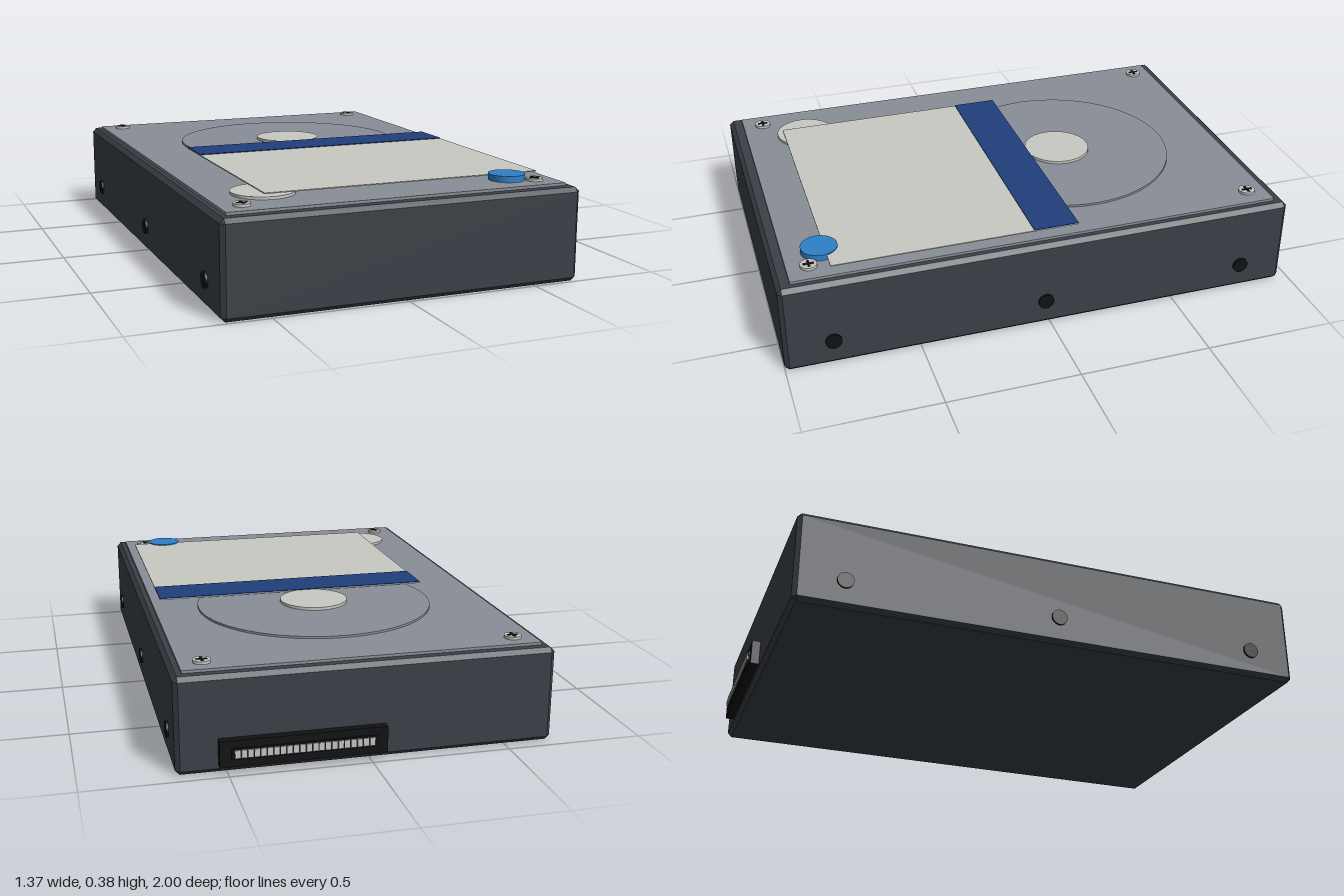
import * as THREE from 'three';
import { ConvexGeometry } from 'three/addons/geometries/ConvexGeometry.js';

const mat = (name, color) => {
  const m = new THREE.MeshStandardMaterial({ color });
  m.name = name;
  return m;
};

// Box with all edges cut at 45 degrees
function chamferedBox(w, h, d, c) {
  const pts = [];
  for (const sx of [-1, 1]) for (const sy of [-1, 1]) for (const sz of [-1, 1]) {
    const x = w / 2, y = h / 2, z = d / 2;
    pts.push(new THREE.Vector3(sx * x, sy * (y - c), sz * (z - c)));
    pts.push(new THREE.Vector3(sx * (x - c), sy * y, sz * (z - c)));
    pts.push(new THREE.Vector3(sx * (x - c), sy * (y - c), sz * z));
  }
  return new ConvexGeometry(pts);
}

export function createModel() {
  const root = new THREE.Group();
  root.name = 'hardDrive';

  const casing = mat('charcoal casing', 0x3b4047);
  const metal = mat('lid grey', 0x8a8f98);
  const pale = mat('pale label', 0xc9c9c3);
  const navy = mat('navy band', 0x1f3f7d);
  const blue = mat('blue seal', 0x2f80c8);
  const black = mat('black plastic', 0x101113);
  const silver = mat('silver', 0xc4c4c0);

  const add = (name, geo, material, x, y, z, parent = root) => {
    const mesh = new THREE.Mesh(geo, material);
    mesh.name = name;
    mesh.position.set(x, y, z);
    parent.add(mesh);
    return mesh;
  };
  // Box and upright disc given by their bottom and top heights
  const slab = (name, m, x0, x1, y0, y1, z0, z1, parent) =>
    add(name, new THREE.BoxGeometry(x1 - x0, y1 - y0, z1 - z0), m,
      (x0 + x1) / 2, (y0 + y1) / 2, (z0 + z1) / 2, parent);
  const disc = (name, m, r, y0, y1, x, z, parent) =>
    add(name, new THREE.CylinderGeometry(r, r, y1 - y0, 64), m, x, (y0 + y1) / 2, z, parent);

  // Casing and lid
  add('casing', chamferedBox(1.35, 0.348, 1.96, 0.016), casing, 0, 0.174, 0.02);
  slab('lid', metal, -0.64, 0.64, 0.34, 0.358, -0.915, 0.95);

  // Raised areas on the lid
  disc('platterRise', metal, 0.452, 0.35, 0.366, 0.025, -0.25);
  disc('spindleCap', pale, 0.13, 0.36, 0.377, 0.025, -0.25);
  disc('pivotCap', pale, 0.115, 0.35, 0.368, -0.43, 0.71);

  // Label with its coloured band and the round seal
  slab('label', pale, -0.455, 0.61, 0.373, 0.377, -0.125, 0.8);
  slab('labelBand', navy, -0.455, 0.61, 0.3765, 0.38, -0.125, 0.047);
  disc('seal', blue, 0.067, 0.355, 0.381, 0.475, 0.817);

  // Cross-head screws in the lid corners
  for (const x of [-0.56, 0.56]) for (const z of [-0.84, 0.87]) {
    const screw = new THREE.Group();
    screw.name = 'lidScrew';
    screw.position.set(x, 0, z);
    root.add(screw);
    disc('screwHead', silver, 0.031, 0.35, 0.368, 0, 0, screw);
    slab('crossSlotA', black, -0.02, 0.02, 0.366, 0.3695, -0.005, 0.005, screw);
    slab('crossSlotB', black, -0.005, 0.005, 0.366, 0.37, -0.02, 0.02, screw);
  }

  // Mounting holes along both sides
  for (const side of [-1, 1]) for (const z of [-0.78, 0.02, 0.82]) {
    const hole = add('mountingHole', new THREE.CylinderGeometry(0.03, 0.03, 0.02, 32),
      black, side * 0.673, 0.102, z);
    hole.rotation.z = Math.PI / 2;
  }

  // Rear connector with a row of contacts
  slab('connector', black, -0.055, 0.53, 0.03, 0.125, -0.991, -0.95);
  slab('connectorTongue', black, -0.015, 0.49, 0.058, 0.098, -0.996, -0.98);
  const pins = 22, pitch = 0.49 / pins;
  for (let i = 0; i < pins; i++) {
    const x = -0.0075 + i * pitch;
    slab('contact', silver, x, x + pitch * 0.85, 0.063, 0.092, -1, -0.99);
  }
  return root;
}
